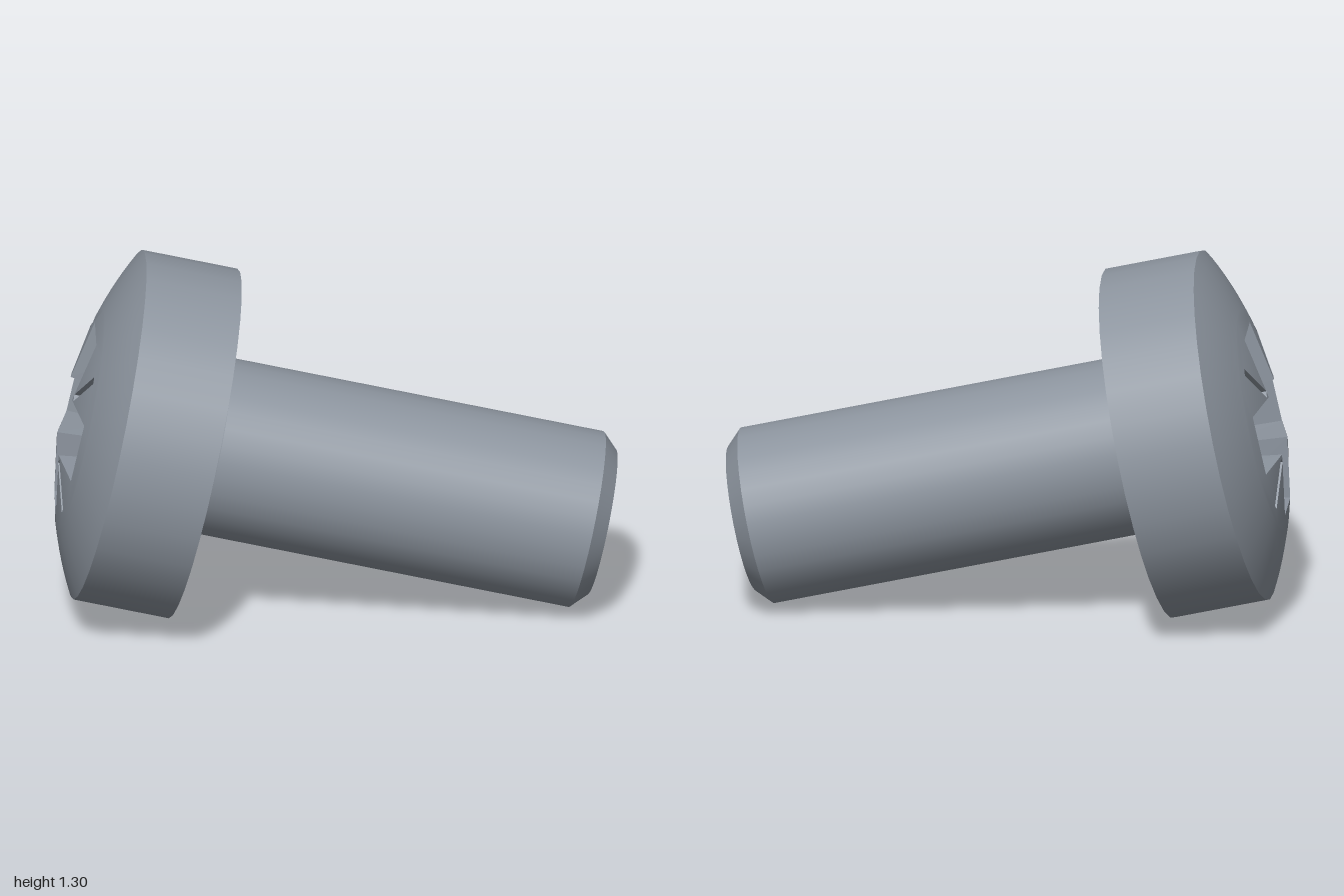
import * as THREE from 'three';

const SEG = 32;
const HEAD_R = 0.63, RIM_Y = 0.345, DOME_H = 0.165;
const DOME_S = (HEAD_R * HEAD_R + DOME_H * DOME_H) / (2 * DOME_H); // dome sphere radius
const DOME_C = RIM_Y + DOME_H - DOME_S;                            // dome sphere centre height
const PATCH_R = 0.4;                                               // inner dome area holding the recess
const SHAFT_R = 0.317, FILLET = 0.035, TIP_Y = -1.444, CHAMFER = 0.055;

const domeY = (r) => DOME_C + Math.sqrt(DOME_S * DOME_S - r * r);

export function createModel() {
  const steel = new THREE.MeshStandardMaterial({ color: 0x8c949e });
  steel.name = 'steel';
  const screw = new THREE.Group();
  screw.name = 'screw';

  const add = (name, geometry) => {
    const mesh = new THREE.Mesh(geometry, steel);
    mesh.name = name;
    screw.add(mesh);
  };
  // Each surface is its own lathe, so the edges between them stay sharp
  const turn = (name, profile) =>
    add(name, new THREE.LatheGeometry(profile.map(([r, y]) => new THREE.Vector2(r, y)), SEG));

  // Shaft
  turn('tipFace', [[0, TIP_Y], [SHAFT_R - CHAMFER, TIP_Y]]);
  turn('tipChamfer', [[SHAFT_R - CHAMFER, TIP_Y], [SHAFT_R, TIP_Y + CHAMFER]]);
  turn('shaft', [[SHAFT_R, TIP_Y + CHAMFER], [SHAFT_R, -FILLET]]);
  const fillet = [];
  for (let i = 0; i <= 6; i++) {
    const a = (i / 6) * Math.PI / 2;
    fillet.push([SHAFT_R + FILLET * (1 - Math.cos(a)), -FILLET * (1 - Math.sin(a))]);
  }
  turn('neckFillet', fillet);

  // Head
  turn('headUnderside', [[SHAFT_R + FILLET, 0], [HEAD_R, 0]]);
  turn('headSide', [[HEAD_R, 0], [HEAD_R, RIM_Y]]);
  const dome = [];
  for (let i = 0; i <= 6; i++) {
    const r = HEAD_R + (PATCH_R - HEAD_R) * (i / 6);
    dome.push([r, domeY(r)]);
  }
  turn('headDome', dome);

  // Recess outlines, counter-clockwise as seen from above the head
  const cross = (len, half) => {
    const pts = [];
    for (let i = 0; i < 4; i++) {
      const c = new THREE.Vector2();
      for (const [x, y] of [[len, -half], [len, half], [half, half]])
        pts.push(new THREE.Vector2(x, y).rotateAround(c, i * Math.PI / 2));
    }
    return pts;
  };
  const slit = (i, r0, r1, half) =>
    [[r0, -half], [r1, -half], [r1, half], [r0, half]].map(([x, y]) =>
      new THREE.Vector2(x, y).rotateAround(new THREE.Vector2(), Math.PI / 4 + i * Math.PI / 2));

  const crossTop = cross(0.33, 0.108);
  const slitTops = [0, 1, 2, 3].map((i) => slit(i, 0.175, 0.36, 0.013));

  // Dome centre with the recess cut out, lifted onto the sphere
  const disc = new THREE.Shape();
  disc.setFromPoints(Array.from({ length: SEG }, (_, i) => {
    const a = (i / SEG) * Math.PI * 2;
    return new THREE.Vector2(PATCH_R * Math.cos(a), PATCH_R * Math.sin(a));
  }));
  for (const outline of [crossTop, ...slitTops]) disc.holes.push(new THREE.Path(outline));
  const patch = new THREE.ShapeGeometry(disc);
  const pos = patch.attributes.position, nor = patch.attributes.normal;
  for (let i = 0; i < pos.count; i++) {
    const x = pos.getX(i), z = -pos.getY(i), y = domeY(Math.hypot(x, z));
    pos.setXYZ(i, x, y, z);
    nor.setXYZ(i, x / DOME_S, (y - DOME_C) / DOME_S, z / DOME_S);
  }
  add('headDomeCentre', patch);

  // Pocket: walls from the dome down to a floor outline, then a fan to the lowest point
  const pocket = (name, top, bottom, floorY, apex) => {
    const a = top.map((p) => [p.x, domeY(p.length()), -p.y]);
    const b = bottom.map((p) => [p.x, floorY, -p.y]);
    const v = [];
    for (let i = 0; i < a.length; i++) {
      const j = (i + 1) % a.length;
      v.push(...a[i], ...a[j], ...b[i], ...a[j], ...b[j], ...b[i]);
      v.push(...b[i], ...b[j], ...apex);
    }
    const g = new THREE.BufferGeometry();
    g.setAttribute('position', new THREE.Float32BufferAttribute(v, 3));
    g.computeVertexNormals();
    add(name, g);
  };
  pocket('driveRecess', crossTop, cross(0.265, 0.085), 0.27, [0, 0.12, 0]);
  slitTops.forEach((top, i) => {
    const m = new THREE.Vector2(0.26, 0).rotateAround(new THREE.Vector2(), Math.PI / 4 + i * Math.PI / 2);
    pocket('recessSlit', top, slit(i, 0.175, 0.33, 0.011), 0.425, [m.x, 0.425, -m.y]);
  });

  // Tilt the screw: its axis runs from the head towards +x, slightly down and forward
  const out = new THREE.Vector3(-0.954, 0.2175, -0.207).normalize();
  const up = new THREE.Vector3(0, 1, 0).addScaledVector(out, -out.y).normalize();
  const side = new THREE.Vector3().crossVectors(up, out);
  screw.quaternion.setFromRotationMatrix(new THREE.Matrix4().makeBasis(up, out, side));
  screw.position.set(-0.457, 0.617, 0.035);

  const model = new THREE.Group();
  model.name = 'panHeadScrew';
  model.add(screw);
  return model;
}
